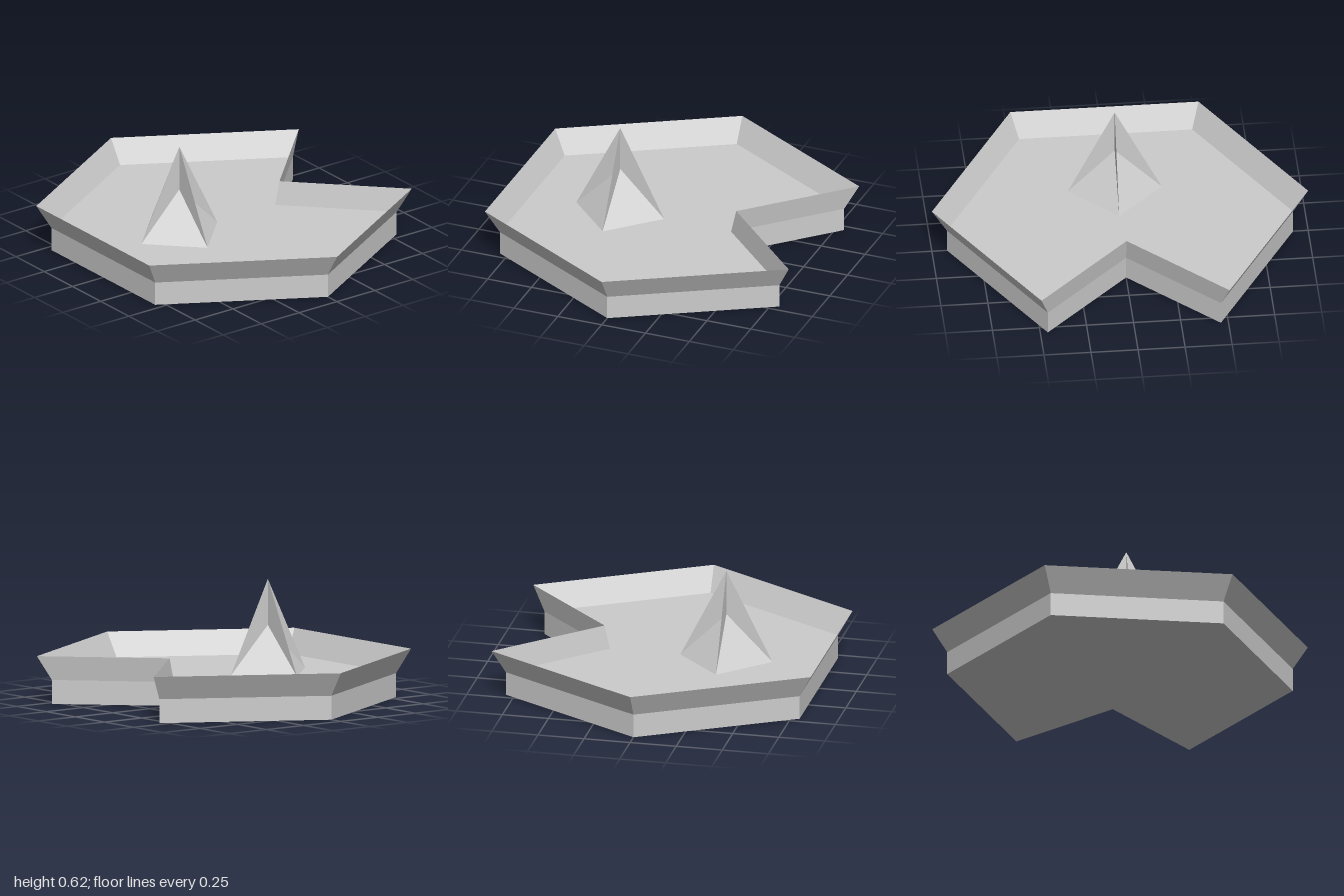
import * as THREE from 'three';

const FLOOR = 0.128, RIM = 0.257, INSET = 0.92;
// top outline [x, z]: hexagon with a right-angled notch cut into its left side
const OUTLINE = [[0.866, 0.5], [0.366, 0], [0.866, -0.5], [0, -1], [-0.866, -0.5], [-0.866, 0.5], [0, 1]];

const grey = new THREE.MeshStandardMaterial({ color: 0xcccccc, flatShading: true, side: THREE.DoubleSide });
grey.name = 'light grey';

function addMesh(parent, geometry, name) {
  const mesh = new THREE.Mesh(geometry, grey);
  mesh.name = name;
  parent.add(mesh);
  return mesh;
}

// thin flaring band from the slab's top edge out to the full outline
function rimGeometry() {
  const positions = [];
  const low = ([x, z]) => [x * INSET, FLOOR, z * INSET];
  const high = ([x, z]) => [x, RIM, z];
  OUTLINE.forEach((a, i) => {
    const b = OUTLINE[(i + 1) % OUTLINE.length];
    positions.push(...low(a), ...low(b), ...high(b), ...low(a), ...high(b), ...high(a));
  });
  const geometry = new THREE.BufferGeometry();
  geometry.setAttribute('position', new THREE.Float32BufferAttribute(positions, 3));
  geometry.computeVertexNormals();
  return geometry;
}

export function createModel() {
  const model = new THREE.Group();
  model.name = 'notchedTray';

  // slab
  const shape = new THREE.Shape(OUTLINE.map(([x, z]) => new THREE.Vector2(x * INSET, -z * INSET)));
  const slab = new THREE.ExtrudeGeometry(shape, { depth: FLOOR, bevelEnabled: false });
  slab.rotateX(-Math.PI / 2);
  addMesh(model, slab, 'slab');

  addMesh(model, rimGeometry(), 'flaredRim');

  // spike: low pyramid with two tall crossed fins
  const spike = new THREE.Group();
  spike.name = 'spike';
  spike.position.set(-0.295, FLOOR, 0);
  model.add(spike);

  const pyramid = new THREE.ConeGeometry(0.25, 0.25, 4, 1, true);
  pyramid.translate(0, 0.125, 0);
  addMesh(spike, pyramid, 'pyramid');

  const fin = new THREE.ShapeGeometry(new THREE.Shape([
    new THREE.Vector2(-0.25, 0), new THREE.Vector2(0.25, 0), new THREE.Vector2(0, 0.496),
  ]));
  addMesh(spike, fin, 'crossFin');
  addMesh(spike, fin, 'lengthFin').rotation.y = Math.PI / 2;

  return model;
}
